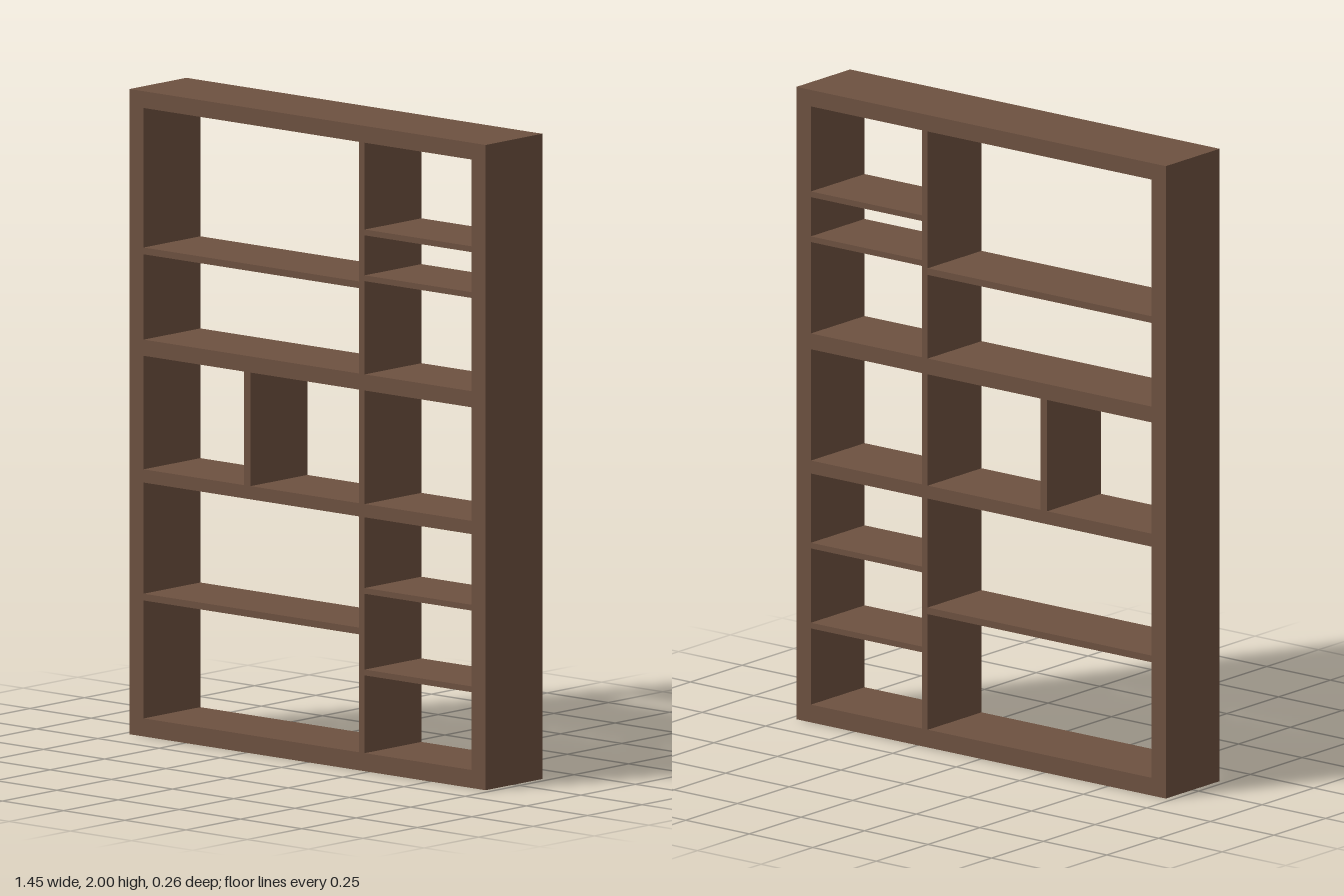
import * as THREE from 'three';

const DEPTH = 0.26;

export function createModel() {
  const group = new THREE.Group();
  group.name = 'bookcase';
  const wood = new THREE.MeshStandardMaterial({ color: 0x6d5140 });
  wood.name = 'brown wood';

  // Full-depth board between two corners in the front plane
  function board(name, x0, x1, y0, y1) {
    const mesh = new THREE.Mesh(new THREE.BoxGeometry(x1 - x0, y1 - y0, DEPTH), wood);
    mesh.position.set((x0 + x1) / 2, (y0 + y1) / 2, 0);
    mesh.name = name;
    group.add(mesh);
  }

  const outer = 0.727, inner = 0.67;
  const divL = 0.21, divR = 0.233;

  // Outer frame
  board('rightSide', -outer, -inner, 0, 2);
  board('leftSide', inner, outer, 0, 2);
  board('bottomBoard', -inner, inner, 0, 0.056);
  board('topBoard', -inner, inner, 1.948, 2);

  // Thick shelves across the whole width
  board('lowerMainShelf', -inner, inner, 0.787, 0.828);
  board('upperMainShelf', -inner, inner, 1.18, 1.23);

  // Upright divider, one piece per tier
  for (const [y0, y1] of [[0.056, 0.787], [0.828, 1.18], [1.23, 1.948]])
    board('divider', divL, divR, y0, y1);

  // Short upright in the middle tier
  board('middleUpright', -0.26, -0.233, 0.828, 1.18);

  // Thin wide shelves
  for (const y of [0.432, 1.505])
    board('wideShelf', -inner, divL, y - 0.0105, y + 0.0105);

  // Thin narrow shelves
  for (const y of [0.306, 0.559, 1.528, 1.67])
    board('narrowShelf', divR, inner, y - 0.009, y + 0.009);

  return group;
}
